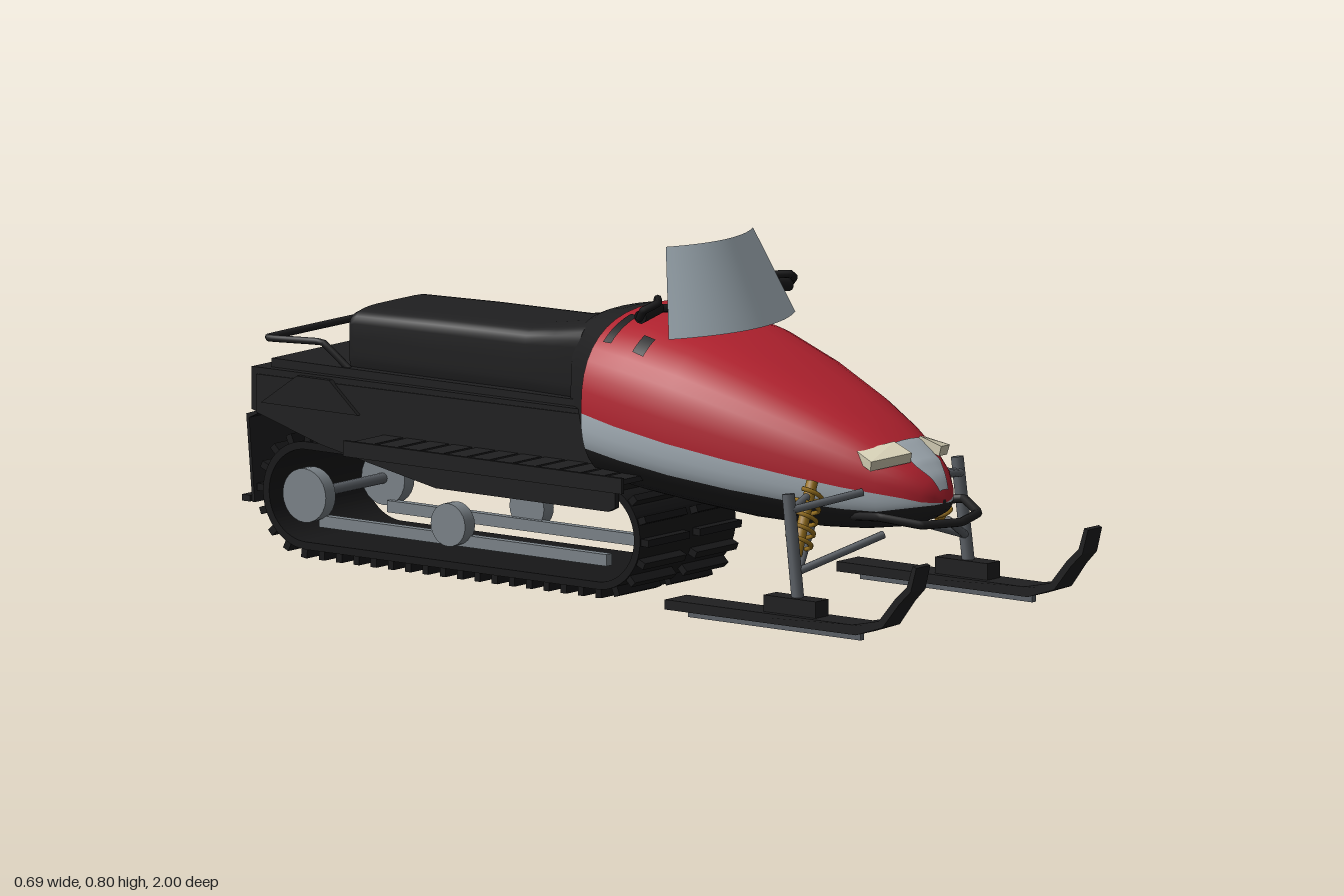
import * as THREE from 'three';
import { ConvexGeometry } from 'three/addons/geometries/ConvexGeometry.js';

const V = (x, y, z) => new THREE.Vector3(x, y, z);
const material = (name, color, side = THREE.FrontSide) => {
  const m = new THREE.MeshStandardMaterial({ color, side });
  m.name = name;
  return m;
};

// Hood sections, front to back: z, half width, top, stripe top, stripe bottom, belly
const HOOD = [
  [0.82, 0.006, 0.288, 0.28, 0.279, 0.275], [0.815, 0.03, 0.31, 0.283, 0.278, 0.262],
  [0.8, 0.058, 0.335, 0.287, 0.277, 0.25], [0.77, 0.088, 0.365, 0.297, 0.273, 0.235],
  [0.72, 0.122, 0.4, 0.307, 0.265, 0.22], [0.65, 0.155, 0.443, 0.318, 0.268, 0.21],
  [0.55, 0.195, 0.492, 0.336, 0.277, 0.205], [0.4, 0.24, 0.555, 0.362, 0.295, 0.21],
  [0.25, 0.27, 0.606, 0.388, 0.315, 0.225], [0.12, 0.28, 0.632, 0.412, 0.335, 0.238],
  [0.02, 0.272, 0.64, 0.43, 0.35, 0.25]];
const HOOD_POWER = 2.6;

// Surface through rows of points; group(column) picks a material index
function grid(rows, group = () => 0) {
  const n = rows[0].length, lists = [];
  for (let j = 0; j < n - 1; j++) {
    const list = (lists[group(j)] ??= []);
    for (let i = 0; i < rows.length - 1; i++) {
      const a = i * n + j, b = a + n;
      list.push(a, a + 1, b, a + 1, b + 1, b);
    }
  }
  const geo = new THREE.BufferGeometry().setFromPoints(rows.flat());
  geo.setIndex(lists.flat());
  let start = 0;
  lists.forEach((l, k) => { geo.addGroup(start, l.length, k); start += l.length; });
  geo.computeVertexNormals();
  return geo;
}

// Superellipse ring: 8 belly, 3 stripe and 10 top steps on each half
function ring([z, w, t, s1, s2, b], e) {
  const p = 2 / e, half = [];
  const lower = (a) => V(w * Math.max(0, Math.cos(a)) ** p, s1 - (s1 - b) * Math.sin(a) ** p, z);
  const split = Math.asin(((s1 - s2) / (s1 - b)) ** (1 / p));
  for (let i = 0; i < 8; i++) half.push(lower(Math.PI / 2 + (split - Math.PI / 2) * i / 8));
  for (let i = 0; i < 3; i++) half.push(lower(split * (1 - i / 3)));
  for (let i = 0; i <= 10; i++) {
    const a = i / 10 * Math.PI / 2;
    half.push(V(w * Math.max(0, Math.cos(a)) ** p, s1 + (t - s1) * Math.sin(a) ** p, z));
  }
  const left = half.map((q) => V(-q.x, q.y, q.z));
  return [...left, ...half.slice(0, -1).reverse()];
}

// Height of the hood at x, z
function hoodHeight(x, z) {
  let i = 0;
  while (i < HOOD.length - 2 && HOOD[i + 1][0] > z) i++;
  const f = (HOOD[i][0] - z) / (HOOD[i][0] - HOOD[i + 1][0]);
  const [w, t, s] = [1, 2, 3].map((k) => HOOD[i][k] + (HOOD[i + 1][k] - HOOD[i][k]) * f);
  const u = Math.min(1, Math.abs(x) / w);
  return s + (t - s) * (1 - u ** HOOD_POWER) ** (1 / HOOD_POWER);
}

// Side outline given as [z, y], extruded across x
function across(shape, width) {
  if (Array.isArray(shape)) shape = new THREE.Shape(shape.map(([z, y]) => new THREE.Vector2(z, y)));
  return new THREE.ExtrudeGeometry(shape, { depth: width, bevelEnabled: false, curveSegments: 20 })
    .translate(0, 0, -width / 2).rotateY(-Math.PI / 2);
}

export function createModel() {
  const model = new THREE.Group();
  const red = material('hood red', 0xb3222f), silver = material('silver stripe', 0xa8b3bb);
  const black = material('black body', 0x1f1f20), rubber = material('rubber black', 0x171718);
  const steel = material('dark steel', 0x5c6167), wheelGrey = material('wheel grey', 0x7d858b);
  const gold = material('spring gold', 0x9c7420), lens = material('headlight cream', 0xd6d0b6);
  const tail = material('tail light red', 0x8e1a22);
  const shield = material('windshield grey', 0xb0bec7, THREE.DoubleSide);

  const add = (name, geo, mat, x = 0, y = 0, z = 0) => {
    const m = new THREE.Mesh(geo, mat);
    m.name = name;
    m.position.set(x, y, z);
    model.add(m);
    return m;
  };
  const box = (name, mat, w, h, d, x, y, z) => add(name, new THREE.BoxGeometry(w, h, d), mat, x, y, z);
  const tube = (name, mat, pts, r) => add(name, new THREE.TubeGeometry(
    new THREE.CatmullRomCurve3(pts, false, 'catmullrom', 0.08), pts.length * 10, r, 8), mat);
  const along = (mesh, a, b) => {
    mesh.position.copy(a).add(b).multiplyScalar(0.5);
    mesh.quaternion.setFromUnitVectors(V(0, 1, 0), b.clone().sub(a).normalize());
    return mesh;
  };
  const rod = (name, mat, a, b, r) => along(add(name, new THREE.CylinderGeometry(r, r, a.distanceTo(b), 10), mat), a, b);
  const loft = (name, rows, e, mats, capMat, group) => {
    const rings = rows.map((r) => ring(r, e));
    const middle = (r) => r.map(() => V(0, (r[0].y + r[21].y) / 2, r[0].z));
    add(name, grid(rings, group), mats);
    add(name + 'Front', grid([middle(rings[0]), rings[0]]), capMat);
    add(name + 'Back', grid([rings.at(-1), middle(rings.at(-1))]), capMat);
  };
  const hoodPatch = (name, mat, z0, z1, x0, x1) => {
    const rows = [];
    for (let i = 0; i <= 16; i++) {
      const z = z0 + (z1 - z0) * i / 16, row = [];
      for (let j = 0; j <= 8; j++) {
        const x = x0(z) + (x1(z) - x0(z)) * j / 8;
        row.push(V(x, hoodHeight(x, z) + 0.004, z + 0.003));
      }
      rows.push(row);
    }
    add(name, grid(rows), mat);
  };

  // Hood with side stripe and belly pan
  const band = (j) => { const k = Math.min(j, 41 - j); return k < 8 ? 2 : k < 11 ? 1 : 0; };
  loft('hood', HOOD, HOOD_POWER, [red, silver, black], black, band);
  const noseHalf = (z) => z > 0.77 ? 0.045 - (z - 0.77) * 0.65 : 0.045;
  hoodPatch('nosePatch', silver, 0.816, 0.71, (z) => -noseHalf(z), noseHalf);

  // Cowl, seat and tunnel
  loft('cowl', [[0.025, 0.25, 0.632, 0.45, 0.4, 0.27], [-0.03, 0.205, 0.63, 0.45, 0.4, 0.28],
    [-0.075, 0.17, 0.622, 0.45, 0.4, 0.3], [-0.1, 0.155, 0.612, 0.45, 0.4, 0.3]], 3, black, black);
  loft('seat', [[-0.08, 0.15, 0.6, 0.5, 0.45, 0.4], [-0.16, 0.145, 0.588, 0.5, 0.45, 0.4],
    [-0.24, 0.14, 0.576, 0.5, 0.45, 0.4], [-0.5, 0.145, 0.572, 0.5, 0.45, 0.4],
    [-0.71, 0.145, 0.566, 0.5, 0.45, 0.4], [-0.73, 0.138, 0.556, 0.5, 0.45, 0.4]], 5, black, black);
  add('tunnel', across([[0.05, 0.29], [0.05, 0.42], [-0.965, 0.415], [-0.965, 0.32], [-0.85, 0.29]], 0.37), black);
  box('seatBase', black, 0.33, 0.02, 0.85, 0, 0.425, -0.5);
  for (const s of [-1, 1]) {
    add('tunnelSide', across([[0.05, 0.21], [0.05, 0.41], [-0.95, 0.4], [-0.95, 0.315], [-0.77, 0.262],
      [-0.45, 0.2], [0.03, 0.2]], 0.014), black, s * 0.181);
    add('rearFlare', across([[-0.66, 0.34], [-0.74, 0.41], [-0.83, 0.41], [-0.93, 0.34]], 0.016), black, s * 0.19);
  }

  // Running boards with slats
  for (const s of [-1, 1]) {
    for (let i = 0; i < 12; i++) box('runningBoardSlat', black, 0.13, 0.012, 0.054, s * 0.247, 0.297, 0.138 - i * 0.0642);
    box('runningBoardEdge', black, 0.01, 0.035, 0.775, s * 0.315, 0.29, -0.217);
  }

  // Track belt and lugs
  const loop = (Type, r) => {
    const p = new Type();
    p.absarc(-0.015, 0.14, r, -Math.PI / 2, Math.PI / 2, false);
    p.absarc(-0.825, 0.14, r, Math.PI / 2, Math.PI * 1.5, false);
    p.closePath();
    return p;
  };
  const belt = loop(THREE.Shape, 0.12);
  belt.holes.push(loop(THREE.Path, 0.103));
  add('trackBelt', across(belt, 0.34), rubber);
  const lugPoints = loop(THREE.Path, 0.125).getSpacedPoints(50);
  for (let i = 0; i < 50; i++) {
    const p = lugPoints[i], d = lugPoints[i + 1].clone().sub(lugPoints[i ? i - 1 : 49]);
    for (const s of [-1, 1])
      box('trackLug', rubber, 0.148, 0.03, 0.016, s * 0.092, p.y, p.x).rotation.x = -Math.atan2(d.y, d.x);
  }

  // Slide rails and wheels
  for (const s of [-1, 1]) {
    box('slideRail', wheelGrey, 0.02, 0.026, 0.8, s * 0.12, 0.078, -0.42);
    for (const [z, y, r] of [[-0.44, 0.115, 0.048], [-0.84, 0.137, 0.06]])
      add('trackWheel', new THREE.CylinderGeometry(r, r, 0.035, 24).rotateZ(Math.PI / 2), wheelGrey, s * 0.14, y, z);
  }
  rod('rearAxle', steel, V(-0.13, 0.137, -0.84), V(0.13, 0.137, -0.84), 0.012);

  // Rear rail, light and snow flap
  tube('rearGrabRail', black, [V(-0.15, 0.43, -0.72), V(-0.17, 0.487, -0.78), V(-0.17, 0.48, -0.935),
    V(0.17, 0.48, -0.935), V(0.17, 0.487, -0.78), V(0.15, 0.43, -0.72)], 0.008);
  box('tailLight', tail, 0.18, 0.032, 0.02, 0, 0.365, -0.968);
  add('snowFlap', across([[-0.962, 0.315], [-0.992, 0.305], [-0.975, 0.11], [-0.968, 0.11], [-0.984, 0.297], [-0.962, 0.307]], 0.34), black);
  box('flapBar', black, 0.35, 0.014, 0.022, 0, 0.118, -0.989);

  // Skis and front suspension
  for (const s of [-1, 1]) {
    const ski = across([[0.31, 0.035], [0.84, 0.035], [0.91, 0.058], [0.955, 0.115], [0.985, 0.145], [1, 0.2],
      [0.99, 0.203], [0.975, 0.155], [0.945, 0.127], [0.9, 0.072], [0.83, 0.057], [0.31, 0.057]], 0.078);
    const pos = ski.attributes.position;
    for (let i = 0; i < pos.count; i++)
      pos.setX(i, pos.getX(i) * (1 - Math.max(0, pos.getZ(i) - 0.8) * 1.8));
    add('ski', ski, black, s * 0.305);
    box('skiKeel', steel, 0.013, 0.018, 0.48, s * 0.305, 0.027, 0.59);
    box('skiSaddle', black, 0.045, 0.042, 0.145, s * 0.305, 0.073, 0.645);
    rod('skiSpindle', steel, V(s * 0.303, 0.08, 0.65), V(s * 0.3, 0.32, 0.62), 0.014);
    for (const z of [0.58, 0.7]) {
      rod('upperArm', steel, V(s * 0.3, 0.285, 0.63), V(s * 0.14, 0.31, z), 0.009);
      rod('lowerArm', steel, V(s * 0.295, 0.15, 0.645), V(s * 0.115, 0.217, z + (z > 0.6 ? 0.04 : -0.04)), 0.009);
    }
    const low = V(s * 0.26, 0.175, 0.61), high = V(s * 0.19, 0.33, 0.6), length = low.distanceTo(high);
    rod('shockAbsorber', gold, low, high, 0.013);
    const coil = [];
    for (let i = 0; i <= 60; i++) {
      const a = i / 60 * Math.PI * 9;
      coil.push(V(Math.cos(a) * 0.028, (i / 60 - 0.5) * length * 0.72, Math.sin(a) * 0.028));
    }
    along(add('shockSpring', new THREE.TubeGeometry(new THREE.CatmullRomCurve3(coil), 120, 0.0055, 6), gold), low, high);
  }

  // Front bumper
  tube('frontBumper', black, [V(-0.12, 0.25, 0.66), V(-0.15, 0.262, 0.755), V(-0.1, 0.246, 0.835), V(0, 0.242, 0.865),
    V(0.1, 0.246, 0.835), V(0.15, 0.262, 0.755), V(0.12, 0.25, 0.66)], 0.01);

  // Headlights and hood vents
  for (const s of [-1, 1]) {
    const top = [V(s * 0.12, 0.395, 0.67), V(s * 0.14, 0.38, 0.725), V(s * 0.052, 0.393, 0.77), V(s * 0.045, 0.412, 0.715)];
    add('headlight', new ConvexGeometry([...top, ...top.map((p) => V(p.x * 0.97, p.y - 0.022, p.z - 0.005))]), lens);
    const edges = s < 0 ? [-0.22, -0.12] : [0.12, 0.22];
    hoodPatch('hoodVent', black, 0.06, 0.038, () => edges[0], () => edges[1]);
    hoodPatch('hoodSlot', black, 0.155, 0.125, () => s * 0.205 - 0.022, () => s * 0.205 + 0.022);
  }

  // Windshield, a curved sheet leaning back
  const sheet = [];
  for (let i = 0; i <= 6; i++) {
    const f = i / 6, row = [];
    for (let j = 0; j <= 20; j++) {
      const u = j / 10 - 1;
      row.push(V(u * (0.225 - 0.07 * f), 0.61 + 0.19 * f, 0.293 - 0.085 * f - u * u * (0.065 - 0.022 * f)));
    }
    sheet.push(row.reverse());
  }
  add('windshield', grid(sheet), shield);

  // Handlebar
  tube('handlebar', black, [V(-0.26, 0.662, 0.18), V(-0.19, 0.668, 0.165), V(-0.07, 0.65, 0.15),
    V(0.07, 0.65, 0.15), V(0.19, 0.668, 0.165), V(0.26, 0.662, 0.18)], 0.009);
  rod('steeringPost', black, V(0, 0.6, 0.2), V(0, 0.655, 0.15), 0.016);
  box('handlebarPad', black, 0.12, 0.025, 0.035, 0, 0.652, 0.152);
  for (const s of [-1, 1]) {
    rod('grip', rubber, V(s * 0.18, 0.668, 0.163), V(s * 0.265, 0.66, 0.18), 0.015);
    tube('handGuard', rubber, [V(s * 0.19, 0.69, 0.17), V(s * 0.235, 0.69, 0.205), V(s * 0.268, 0.676, 0.19), V(s * 0.262, 0.655, 0.175)], 0.009);
  }
  box('dashStrip', black, 0.08, 0.008, 0.03, 0, 0.609, 0.25);
  return model;
}
